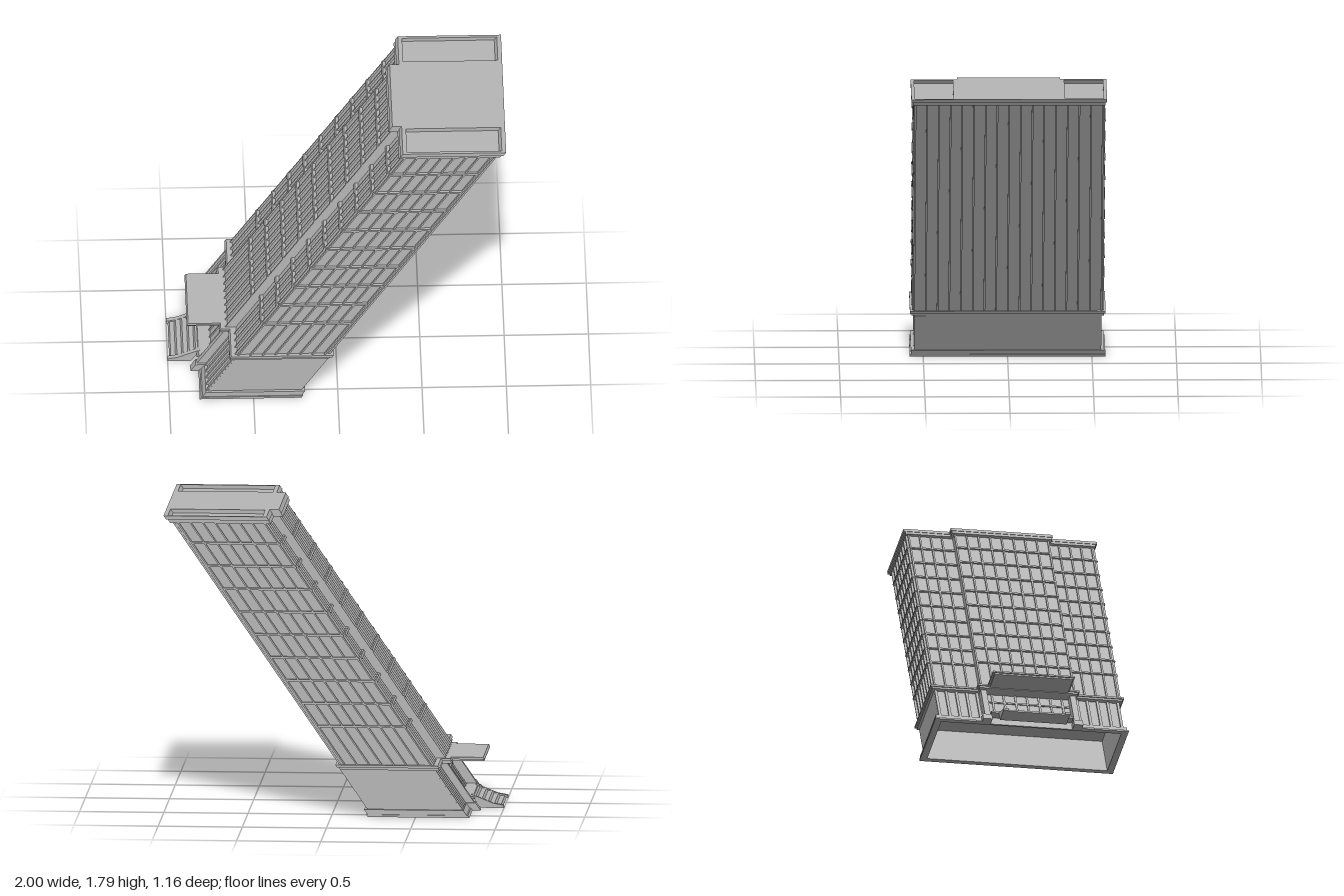
import * as THREE from 'three';

// Leaning tower: every part is modelled upright, then sheared along x by LEAN * y.
const LEAN = 0.685;
const BACK = -0.27, WING = -0.81, BAY = -0.86; // wall planes along x
const HALF = 0.555, BAY_HALF = 0.285;          // half widths along z

export function createModel() {
  const model = new THREE.Group();
  model.name = 'leaningTower';
  const stone = new THREE.MeshStandardMaterial({ color: 0xb6b6b6 });
  stone.name = 'stoneGrey';
  const shear = new THREE.Matrix4().set(1, LEAN, 0, 0, 0, 1, 0, 0, 0, 0, 1, 0, 0, 0, 0, 1);

  function add(name, geometry, parent = model) {
    geometry.applyMatrix4(shear);
    const mesh = new THREE.Mesh(geometry, stone);
    mesh.name = name;
    parent.add(mesh);
    return mesh;
  }
  function group(name) {
    const g = new THREE.Group();
    g.name = name;
    model.add(g);
    return g;
  }
  // Box given by its limits on each axis
  function block(name, x0, x1, y0, y1, z0, z1, parent) {
    const g = new THREE.BoxGeometry(x1 - x0, y1 - y0, z1 - z0);
    g.translate((x0 + x1) / 2, (y0 + y1) / 2, (z0 + z1) / 2);
    return add(name, g, parent);
  }
  // Plan outline: rectangle with a projecting central bay
  function plan(back, wing, bay, half, bayHalf) {
    return [
      [back, -half], [back, half], [wing, half], [wing, bayHalf],
      [bay, bayHalf], [bay, -bayHalf], [wing, -bayHalf], [wing, -half],
    ].map(([x, z]) => new THREE.Vector2(x, z));
  }
  const rect = (x0, x1, z0, z1) =>
    [[x0, z0], [x1, z0], [x1, z1], [x0, z1]].map(([x, z]) => new THREE.Vector2(x, z));

  function slab(name, points, y0, y1, holes = []) {
    const shape = new THREE.Shape(points);
    shape.holes = holes.map((h) => new THREE.Path(h));
    const g = new THREE.ExtrudeGeometry(shape, { depth: y1 - y0, bevelEnabled: false });
    g.rotateX(-Math.PI / 2);
    g.translate(0, y0, 0);
    return add(name, g);
  }

  // Main shaft
  slab('shaft', plan(BACK, WING, BAY, HALF, BAY_HALF), 0.31, 1.755);

  // Cornices: two stepped layers above the base and at the roof
  slab('lowerCorniceUnder', plan(-0.245, -0.835, -0.89, 0.57, 0.295), 0.28, 0.295);
  slab('lowerCorniceTop', plan(-0.237, -0.845, -0.9, 0.58, 0.305), 0.295, 0.31);
  slab('roofCorniceUnder', plan(-0.242, -0.84, -0.895, 0.57, 0.3), 1.752, 1.772);
  slab('roofParapet', plan(-0.233, -0.845, -0.9, 0.58, 0.305), 1.772, 1.795,
    [rect(-0.82, -0.258, 0.33, 0.56), rect(-0.82, -0.258, -0.56, -0.33)]);

  // Vertical ribs
  const ribs = group('verticalRibs');
  const R = 0.005, OUT = 0.013, Y0 = 0.31, Y1 = 1.755;
  for (let i = 0; i <= 16; i++) {
    const z = -HALF + (i * 2 * HALF) / 16;
    block('backRib', BACK, BACK + OUT, Y0, Y1, z - R, z + R, ribs);
  }
  for (let i = 0; i <= 8; i++) {
    const z = -BAY_HALF + 0.005 + (i * (2 * BAY_HALF - 0.01)) / 8;
    block('bayRib', BAY - OUT, BAY, Y0, Y1, z - R, z + R, ribs);
  }
  for (const s of [-1, 1]) {
    for (let i = 1; i <= 4; i++) {
      const z = s * (BAY_HALF + (i * (HALF - BAY_HALF - 0.005)) / 4);
      block('wingRib', WING - OUT, WING, Y0, Y1, z - R, z + R, ribs);
    }
    for (let i = 0; i <= 7; i++) {
      const x = -0.804 + i * 0.0735;
      const z = s * (HALF + OUT / 2);
      block('sideRib', x - R, x + R, Y0, Y1, z - OUT / 2, z + OUT / 2, ribs);
    }
  }

  // Horizontal floor bands on the front and both sides
  const bands = group('floorBands');
  const B = 0.018;
  for (let f = 0; f < 9; f++) {
    const y = 0.54 + f * 0.1365, y0 = y - 0.006, y1 = y + 0.006;
    block('bayBand', BAY - B, BAY, y0, y1, -BAY_HALF, BAY_HALF, bands);
    for (const s of [-1, 1]) {
      const wing = [s * BAY_HALF, s * HALF].sort((a, b) => a - b);
      block('wingBand', WING - B, WING, y0, y1, wing[0], wing[1], bands);
      const side = [s * HALF, s * (HALF + B)].sort((a, b) => a - b);
      block('sideBand', WING - 0.005, -0.29, y0, y1, side[0], side[1], bands);
    }
  }

  // Hollow base, open underneath
  const T = 0.015;
  block('baseBackWall', -0.242 - T, -0.242, 0, 0.28, -HALF, HALF);
  block('entranceWall', -0.795, -0.78, 0, 0.28, -0.25, 0.25);
  const doors = group('entranceMullions');
  for (let i = -3; i <= 3; i++) {
    block('mullion', -0.803, -0.795, 0.06, 0.28, i * 0.07 - 0.006, i * 0.07 + 0.006, doors);
  }
  block('doorLintel', -0.805, -0.795, 0.2, 0.212, -0.25, 0.25, doors);
  block('entranceLanding', -0.87, -0.795, 0.06, 0.075, -0.245, 0.245);

  for (const s of [-1, 1]) {
    const span = (name, x0, x1, y0, y1, za, zb, parent) =>
      block(name, x0, x1, y0, y1, Math.min(s * za, s * zb), Math.max(s * za, s * zb), parent);
    span('baseSideWall', WING + 0.01, -0.242, 0, 0.28, HALF - T, HALF);
    span('baseFrontWall', -0.795, -0.78, 0, 0.28, 0.25, HALF);
    for (let i = 0; i <= 4; i++) {
      const z = 0.3 + i * 0.0615;
      span('basePilaster', -0.81, -0.795, 0.04, 0.28, z - 0.008, z + 0.008);
    }
    // Entrance piers with a stepped foot
    span('entrancePier', BAY, -0.795, 0, 0.28, 0.25, 0.285);
    span('pierFoot', BAY - 0.008, -0.795, 0, 0.045, 0.245, 0.3);
    // Plinth in two layers
    for (const [y0, y1, o] of [[0, 0.014, 0.025], [0.014, 0.043, 0.018]]) {
      span('plinthSide', WING - o + 0.015, -0.242 + o, y0, y1, HALF - T, HALF + o);
      span('plinthFront', WING - o + 0.015, -0.78, y0, y1, 0.285, HALF);
    }
    // Sloped stair cheek
    const cheek = new THREE.Shape([[-1, 0], [-0.86, 0], [-0.86, 0.08], [-0.957, 0.027],
      [-1.01, 0.016]].map(([x, y]) => new THREE.Vector2(x, y)));
    const g = new THREE.ExtrudeGeometry(cheek, { depth: 0.03, bevelEnabled: false });
    g.translate(0, 0, s > 0 ? 0.17 : -0.2);
    add('stairCheek', g);
  }
  block('plinthBackLower', -0.25, -0.217, 0, 0.014, -0.58, 0.58);
  block('plinthBackUpper', -0.25, -0.224, 0.014, 0.043, -0.573, 0.573);

  // Steps and canopy
  const steps = group('entranceSteps');
  for (let i = 0; i < 5; i++) {
    block('step', -0.99 + i * 0.027, -0.86, i * 0.014, (i + 1) * 0.014, -0.17, 0.17, steps);
  }
  block('canopyUnder', -1.08, -0.85, 0.285, 0.297, -0.235, 0.235);
  block('canopyTop', -1.092, -0.85, 0.297, 0.31, -0.245, 0.245);
  return model;
}
